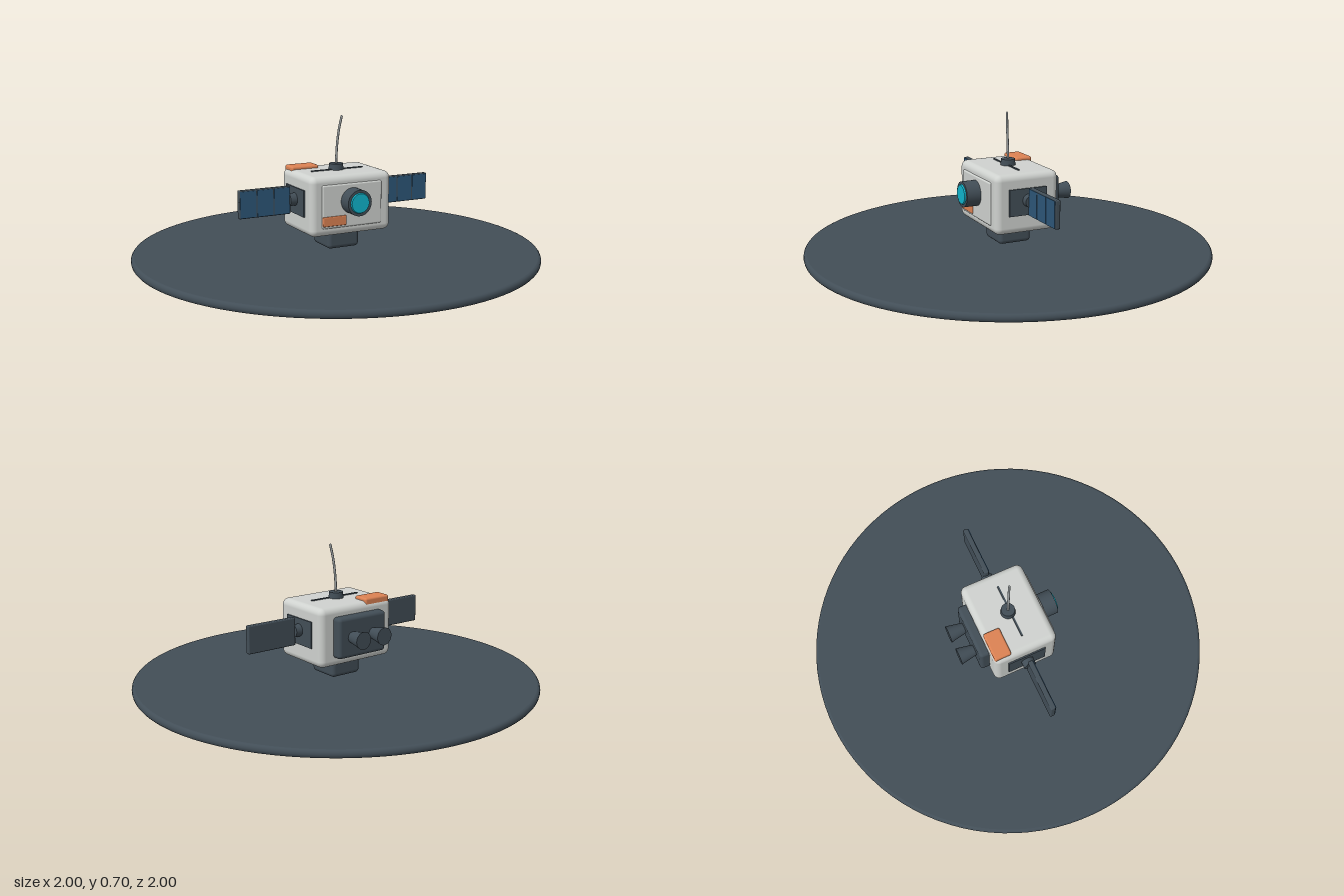
import * as THREE from 'three';
import { RoundedBoxGeometry } from 'three/addons/geometries/RoundedBoxGeometry.js';

const mat = (name, color) => Object.assign(new THREE.MeshStandardMaterial({ color }), { name });

export function createModel() {
  const model = new THREE.Group();
  model.name = 'hoverProbe';
  const shell = mat('shellGrey', 0xcfd2cf);
  const dark = mat('darkSlate', 0x424e57);
  const orange = mat('orange', 0xdc8253);
  const blue = mat('solarBlue', 0x2d5678);
  const teal = mat('lensTeal', 0x10b4cc);
  const metal = mat('antennaMetal', 0x9a9fa1);

  const add = (name, geometry, material, x = 0, y = 0, z = 0, parent = model) => {
    const mesh = new THREE.Mesh(geometry, material);
    mesh.name = name;
    mesh.position.set(x, y, z);
    parent.add(mesh);
    return mesh;
  };
  const rbox = (w, h, d, r) => new RoundedBoxGeometry(w, h, d, 3, r);
  const cyl = (rTop, rBottom, h, n = 32) => new THREE.CylinderGeometry(rTop, rBottom, h, n);
  // Lathe whose points are joined by crisp edges
  const crispLathe = (points, segments) => {
    const pts = points.map(([r, y]) => new THREE.Vector2(r, y));
    return new THREE.LatheGeometry(pts, segments);
  };

  // Base disc with a softened rim
  const rim = [[0, 0], [0.985, 0], [0.985, 0]];
  for (let i = 0; i <= 6; i++) {
    const a = -Math.PI / 2 + (i / 6) * Math.PI;
    rim.push([0.985 + 0.015 * Math.cos(a), 0.019 + 0.019 * Math.sin(a)]);
  }
  rim.push([0.985, 0.038], [0, 0.038]);
  add('baseDisc', crispLathe(rim, 96), dark);

  // Body, front plate and underside pod
  add('body', rbox(0.434, 0.29, 0.33, 0.032), shell, 0, 0.285, 0);
  add('frontPlate', rbox(0.32, 0.21, 0.02, 0.008), shell, 0, 0.285, 0.163);
  add('undersidePod', rbox(0.17, 0.095, 0.17, 0.02), dark, 0, 0.1, 0);

  // Camera eye
  const housing = add('lensHousing', cyl(0.063, 0.063, 0.09), dark, 0, 0.306, 0.2);
  housing.rotation.x = Math.PI / 2;
  const lens = add('lens', cyl(0.046, 0.05, 0.008), teal, 0, 0.306, 0.248);
  lens.rotation.x = Math.PI / 2;

  // Orange markings
  add('frontMarking', rbox(0.125, 0.047, 0.016, 0.005), orange, -0.097, 0.215, 0.172);
  add('topMarking', rbox(0.145, 0.04, 0.086, 0.01), orange, -0.13, 0.425, -0.117);

  // Roof seam and antenna
  add('roofSeam', new THREE.BoxGeometry(0.28, 0.008, 0.009), dark, 0, 0.431, 0.01);
  add('antennaBase', cyl(0.034, 0.037, 0.032, 24), dark, 0, 0.444, 0);
  const curve = new THREE.CatmullRomCurve3([
    new THREE.Vector3(0, 0.455, 0),
    new THREE.Vector3(0.003, 0.54, 0.003),
    new THREE.Vector3(0.01, 0.62, 0.009),
    new THREE.Vector3(0.022, 0.69, 0.016),
  ]);
  add('antenna', new THREE.TubeGeometry(curve, 16, 0.006, 8), metal);
  add('antennaTip', new THREE.SphereGeometry(0.006, 8, 6), metal, 0.022, 0.69, 0.016);

  // Side plates, hubs and solar wings
  for (const s of [1, -1]) {
    const side = new THREE.Group();
    side.name = s > 0 ? 'leftWing' : 'rightWing';
    model.add(side);
    add('sidePlate', new THREE.BoxGeometry(0.014, 0.13, 0.196), dark, s * 0.217, 0.295, 0, side);
    const hub = add('wingHub', cyl(0.031, 0.031, 0.06, 24), dark, s * 0.228, 0.302, 0, side);
    hub.rotation.z = Math.PI / 2;
    add('wingPanel', rbox(0.264, 0.136, 0.026, 0.006), dark, s * 0.384, 0.302, 0, side);
    for (let i = -1; i <= 1; i++) {
      add('solarCell', new THREE.BoxGeometry(0.081, 0.128, 0.006), blue,
        s * 0.384 + i * 0.087, 0.302, 0.0125, side);
    }
  }

  // Rear engine pack with two flared nozzles
  add('enginePack', rbox(0.285, 0.2, 0.06, 0.018), dark, 0, 0.285, -0.182);
  for (const x of [-0.063, 0.063]) {
    const nozzle = add('nozzle', cyl(0.026, 0.043, 0.09, 24), dark, x, 0.286, -0.25);
    nozzle.rotation.x = Math.PI / 2;
  }

  return model;
}
